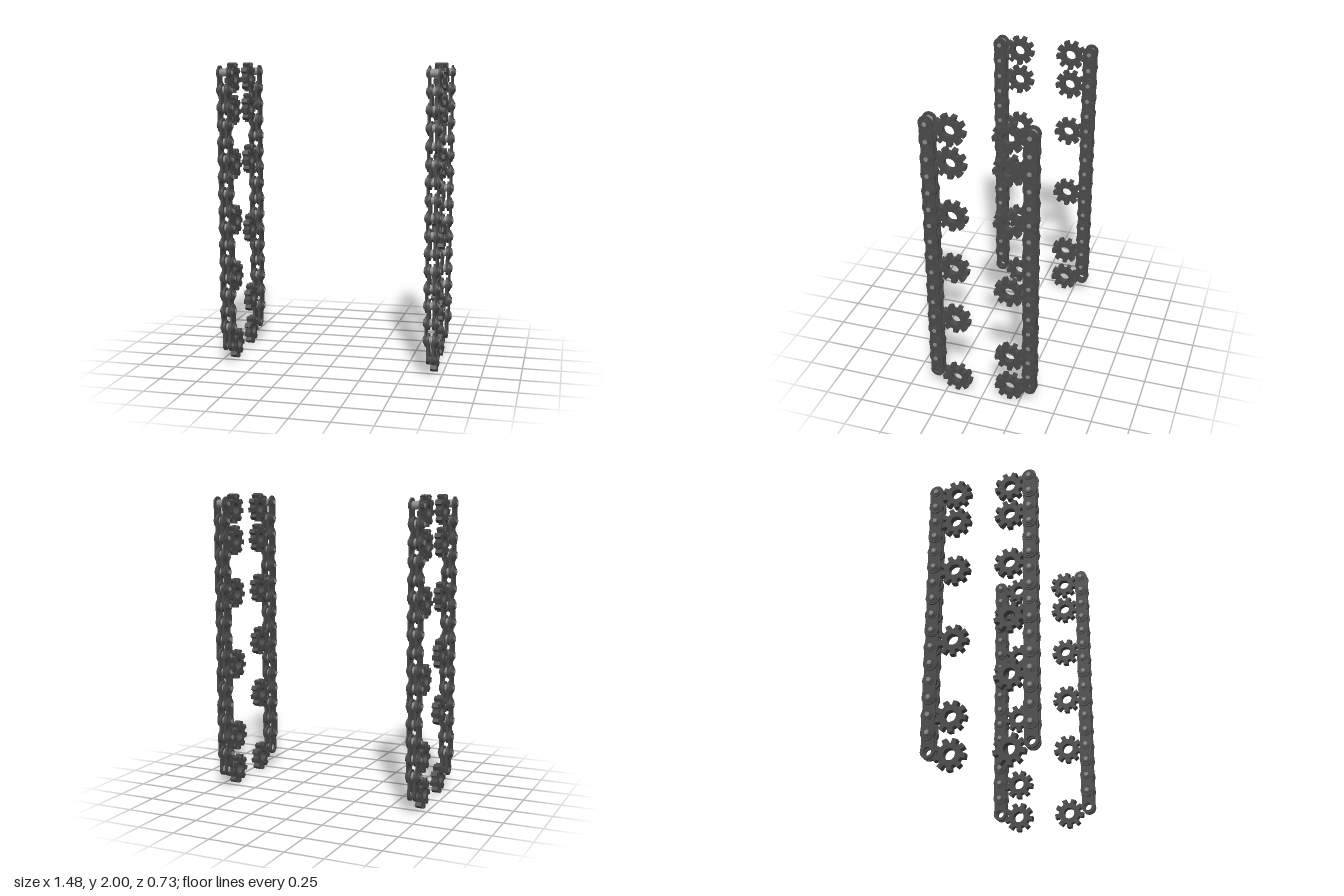
import * as THREE from 'three';

const PITCH = 0.1129, TOP = 1.94, PINS = 16;
const steel = new THREE.MeshStandardMaterial({ color: 0x4a4a4a });
const bright = new THREE.MeshStandardMaterial({ color: 0x8c8c8c });

// Extrude a profile drawn in (z, y) to a thickness along x, centred on x = 0
function slab(shape, thickness) {
  const g = new THREE.ExtrudeGeometry(shape, { depth: thickness, bevelEnabled: false, curveSegments: 14 });
  g.translate(0, 0, -thickness / 2);
  return g.rotateY(Math.PI / 2);
}

function addHole(shape, x, y, r) {
  shape.holes.push(new THREE.Path().absarc(x, y, r, 0, Math.PI * 2, true));
}

// Nine-toothed sprocket with one tooth pointing straight down
function gearGeometry() {
  const teeth = 9, step = Math.PI * 2 / teeth, pts = [];
  for (let i = 0; i < teeth; i++) {
    const a = -Math.PI / 2 + i * step;
    for (const [da, r] of [[-0.35, 0.072], [-0.21, 0.073], [-0.155, 0.101], [0.155, 0.101], [0.21, 0.073]])
      pts.push(new THREE.Vector2(Math.cos(a + da) * r, Math.sin(a + da) * r));
  }
  const shape = new THREE.Shape(pts);
  addHole(shape, 0, 0, 0.037);
  return slab(shape, 0.042);
}

// Link plate: two round ends joined by a slightly narrowed waist
function plateGeometry(thickness) {
  const r = 0.046, h = PITCH / 2, c = r * Math.cos(0.2), s = r * Math.sin(0.2);
  const shape = new THREE.Shape();
  shape.absarc(0, h, r, -0.2, Math.PI + 0.2, false);
  shape.quadraticCurveTo(-0.037, 0, -c, -h + s);
  shape.absarc(0, -h, r, Math.PI - 0.2, Math.PI * 2 + 0.2, false);
  shape.quadraticCurveTo(0.037, 0, c, h - s);
  addHole(shape, 0, h, 0.026);
  addHole(shape, 0, -h, 0.026);
  return slab(shape, thickness);
}

const rod = (r, length) => new THREE.CylinderGeometry(r, r, length, 20).rotateZ(Math.PI / 2);

function add(parent, name, geometry, material, x, y, z = 0) {
  const m = new THREE.Mesh(geometry, material);
  m.name = name;
  m.position.set(x, y, z);
  parent.add(m);
}

export function createModel() {
  const model = new THREE.Group();
  model.name = 'chainsAndSprockets';
  const gear = gearGeometry();
  const outer = plateGeometry(0.01), inner = plateGeometry(0.016);
  const roller = rod(0.026, 0.056), washer = rod(0.034, 0.007);
  const head = rod(0.024, 0.014), tip = rod(0.014, 0.008);

  // One vertical chain: wide and narrow links alternate, the lowest eye is open
  function makeChain() {
    const chain = new THREE.Group();
    chain.name = 'chain';
    for (let i = 0; i < PINS; i++) {
      const y = TOP - i * PITCH, wide = i % 2 === 0;
      add(chain, 'roller', roller, bright, 0, y);
      for (const s of [-1, 1]) {
        add(chain, wide ? 'outerPlate' : 'innerPlate', wide ? outer : inner, steel,
          s * (wide ? 0.032 : 0.0185), y - PITCH / 2);
        add(chain, 'washer', washer, steel, s * 0.0395, y);
        add(chain, 'pinHead', head, steel, s * 0.043, y);
        add(chain, 'pinTip', tip, bright, s * 0.0495, y);
      }
    }
    return chain;
  }

  const gearHeights = {
    front: [1.905, 1.693, 1.335, 0.956, 0.572, 0.101],
    back: [1.905, 1.693, 1.335, 0.843, 0.339, 0.101],
  };

  // Four columns, each with its sprockets on the side facing the middle
  for (const sx of [-1, 1]) {
    for (const [end, sz] of [['front', 1], ['back', -1]]) {
      const column = new THREE.Group();
      column.name = end + (sx > 0 ? 'Left' : 'Right') + 'Column';
      column.position.set(sx * 0.684, 0, sz * 0.318);
      column.add(makeChain());
      for (const y of gearHeights[end]) add(column, 'sprocket', gear, steel, sz * 0.007, y, -sz * 0.138);
      model.add(column);
    }
  }
  return model;
}
